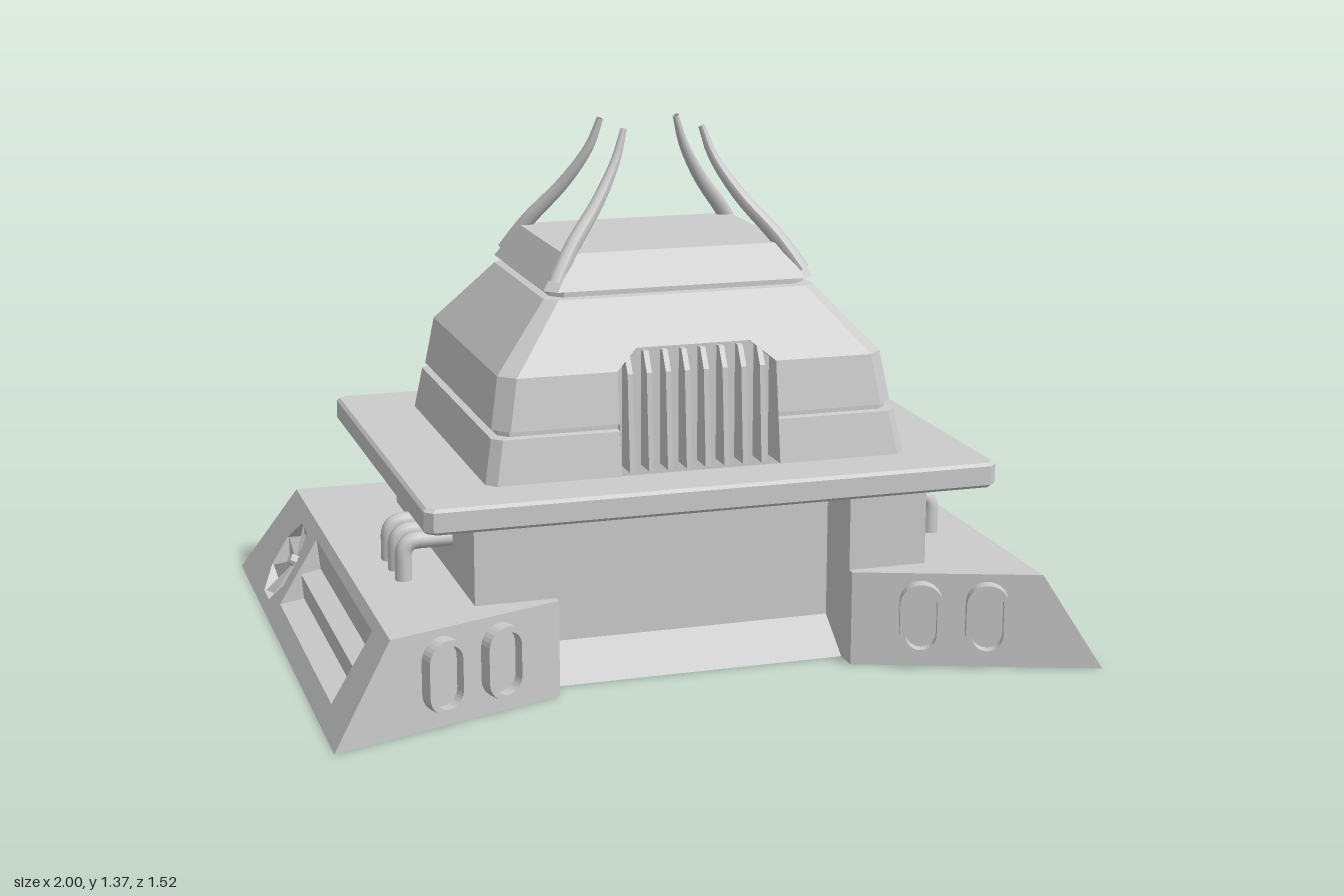
import * as THREE from 'three';

const MAT = new THREE.MeshStandardMaterial({ color: 0xcccccc, flatShading: true, side: THREE.DoubleSide });
const SMOOTH = new THREE.MeshStandardMaterial({ color: 0xcccccc, side: THREE.DoubleSide });
const CZ = 0.04; // the tower sits slightly forward of the base centre

function add(parent, name, geo, mat = MAT) {
  const m = new THREE.Mesh(geo, mat);
  m.name = name;
  parent.add(m);
  return m;
}

// Flat-faced sheet through equal-length rows of [x, y, z] points
function sheet(rows, closed = false, skip = () => false) {
  const pos = [];
  for (let i = 0; i < rows.length - 1; i++) {
    const n = rows[i].length;
    for (let j = 0; j < (closed ? n : n - 1); j++) {
      if (skip(i, j)) continue;
      const k = (j + 1) % n, a = rows[i][j], b = rows[i][k], c = rows[i + 1][k], d = rows[i + 1][j];
      pos.push(...a, ...b, ...c, ...a, ...c, ...d);
    }
  }
  const g = new THREE.BufferGeometry();
  g.setAttribute('position', new THREE.Float32BufferAttribute(pos, 3));
  g.computeVertexNormals();
  return g;
}

// Flat shape with holes, each vertex moved by a rule (u, v) -> [x, y, z]
function panel(outline, holes, rule) {
  const v2 = (pts) => pts.map((p) => new THREE.Vector2(...p));
  const s = new THREE.Shape(v2(outline));
  s.holes = holes.map((h) => new THREE.Path(v2(h)));
  const g = new THREE.ShapeGeometry(s), p = g.attributes.position;
  for (let i = 0; i < p.count; i++) p.setXYZ(i, ...rule(p.getX(i), p.getY(i)));
  g.computeVertexNormals();
  return g;
}

// Rectangle with cut corners; the first two points split the front edge at +-g
function ring([hx, hz, y, c, g = 0.1]) {
  const q = [[-g, hz], [g, hz], [hx - c, hz], [hx, hz - c], [hx, c - hz], [hx - c, -hz],
    [c - hx, -hz], [-hx, c - hz], [-hx, hz - c], [c - hx, hz]];
  return q.map(([x, z]) => [x, y, z + CZ]);
}

function pipe(parent, name, pts, r) {
  const path = new THREE.CurvePath(), v = pts.map((p) => new THREE.Vector3(...p));
  const e = r * 1.8;
  const a = v[1].clone().add(v[0].clone().sub(v[1]).setLength(e));
  const b = v[1].clone().add(v[2].clone().sub(v[1]).setLength(e));
  path.add(new THREE.LineCurve3(v[0], a));
  path.add(new THREE.QuadraticBezierCurve3(a, v[1], b));
  path.add(new THREE.LineCurve3(b, v[2]));
  add(parent, name, new THREE.TubeGeometry(path, 24, r, 10), SMOOTH);
}

// Horn: tube tapered towards its tip
function horn() {
  const curve = new THREE.CatmullRomCurve3([[0.33, 1.0, 0.26], [0.275, 1.085, 0.22], [0.19, 1.19, 0.165],
    [0.13, 1.29, 0.125], [0.105, 1.365, 0.11]].map((p) => new THREE.Vector3(...p)));
  const N = 16, R = 8, g = new THREE.TubeGeometry(curve, N, 0.022, R), p = g.attributes.position;
  const v = new THREE.Vector3();
  for (let i = 0; i < p.count; i++) {
    const t = Math.floor(i / (R + 1)) / N, c = curve.getPointAt(t);
    v.fromBufferAttribute(p, i).sub(c).multiplyScalar(1 - 0.6 * t * t).add(c);
    p.setXYZ(i, v.x, v.y, v.z);
  }
  g.computeVertexNormals();
  return g;
}

function stadium(Type, w, h) {
  const s = new Type();
  s.absarc(0, h - w, w, 0, Math.PI);
  s.absarc(0, w - h, w, Math.PI, 2 * Math.PI);
  s.closePath();
  return s;
}

// One side of the base with its vent, fan, front wing and pipes (+x side)
function baseSide() {
  const g = new THREE.Group();
  const P = (z, y, d = 0) => [1 - 0.6 * y - d, y, z];
  const fz = -0.39, fy = 0.12;
  const oct = [...Array(8)].map((_, i) => {
    const a = (i + 0.5) * Math.PI / 4;
    return [fz + 0.108 * Math.cos(a), fy + 0.1 * Math.sin(a)];
  });
  const z0 = -0.23, z1 = 0.56;
  add(g, 'sideWall', panel([[0.76, 0], [-0.76, 0], [-0.65, 0.25], [0.706, 0.25]],
    [[[z0, 0.05], [z1, 0.05], [z1, 0.225], [z0, 0.225]], oct], (z, y) => P(z, y)));

  // louvred vent trough
  const prof = [[0, 0.225], [0.06, 0.14], [0.012, 0.13], [0.06, 0.06], [0, 0.05]];
  const at = (z, k) => prof.map(([d, y]) => P(z, y, d * k));
  add(g, 'ventLouvres', sheet([at(z0, 0), at(z0, 1), at(z1, 1), at(z1, 0)]));

  // sunken octagonal fan with twisted blades
  const rim = (d) => oct.map(([z, y]) => P(z, y, d));
  add(g, 'fanHousing', sheet([rim(0), rim(0.06), rim(0.06).map(() => P(fz, fy, 0.06))], true));
  oct.forEach(([z, y], i) => {
    const [zn, yn] = oct[(i + 1) % 8];
    add(g, 'fanBlade', sheet([[P(fz, fy, 0.03), P(z, y, 0.005)], [P(fz, fy, 0.03), P(zn, yn, 0.05)]]));
  });
  const hub = add(g, 'fanHub', new THREE.CylinderGeometry(0.014, 0.018, 0.03, 8));
  hub.position.set(...P(fz, fy, 0.025));
  hub.rotation.z = -1.03;

  // front wing and its two framed ports
  add(g, 'wingFront', sheet([[[0.39, 0, 0.54], [1, 0, 0.76]], [[0.39, 0.25, 0.54], [0.85, 0.25, 0.706]]]));
  add(g, 'wingInnerWall', sheet([[[0.39, 0, 0.36], [0.39, 0, 0.54]], [[0.39, 0.25, 0.36], [0.39, 0.25, 0.54]]]));
  for (const x of [0.56, 0.72]) {
    const port = new THREE.Group();
    port.name = 'port';
    const s = stadium(THREE.Shape, 0.055, 0.095);
    s.holes.push(stadium(THREE.Path, 0.04, 0.08));
    add(port, 'portFrame', new THREE.ExtrudeGeometry(s, { depth: 0.045, bevelEnabled: false, curveSegments: 8 }));
    add(port, 'portPane', new THREE.ShapeGeometry(stadium(THREE.Shape, 0.04, 0.08), 8)).position.z = 0.015;
    port.position.set(x, 0.135, 0.76 - 0.36 * (1 - x) - 0.008);
    port.rotation.y = -0.346;
    g.add(port);
  }
  for (const z of [0.26, 0.17, 0.08]) pipe(g, 'sidePipe', [[0.59, 0.352, z], [0.725, 0.352, z], [0.725, 0.245, z]], 0.022);
  for (const [z, x, y] of [[-0.52, 0.475, 0.295], [-0.565, 0.505, 0.3]])
    pipe(g, 'rearPipe', [[0.41, y, z], [x, y, z], [x, 0.245, z]], 0.014);
  return g;
}

export function createModel() {
  const model = new THREE.Group();
  for (const s of [1, -1]) {
    const side = baseSide();
    side.name = s > 0 ? 'leftBaseSide' : 'rightBaseSide';
    side.scale.x = s;
    model.add(side);
  }

  // base back with a sunken panel, and the base top around the body
  const B = (x, y, d = 0) => [x, y, -0.76 + 0.44 * y + d];
  const slot = [[-0.645, 0.045], [0.645, 0.045], [0.6, 0.185], [-0.6, 0.185]];
  add(model, 'baseBack', panel([[-1, 0], [1, 0], [0.85, 0.25], [-0.85, 0.25]], [slot], (x, y) => B(-x, y)));
  add(model, 'backRecess', sheet([slot.map((p) => B(...p)), slot.map(([x, y]) => B(x * 0.97, y, 0.04))], true));
  add(model, 'backRecessFloor', panel(slot, [], (x, y) => B(-x * 0.97, y, 0.04)));
  add(model, 'baseTop', panel(
    [[0.85, -0.706], [0.85, 0.65], [-0.85, 0.65], [-0.85, -0.706], [-0.39, -0.54], [-0.39, -0.36], [0.39, -0.36], [0.39, -0.54]],
    [[[-0.6, -0.34], [0.6, -0.34], [0.6, 0.44], [-0.6, 0.44]]], (x, y) => [x, 0.25, -y]));

  // body walls with the front entrance
  const plan = [[0.39, 0.36], [0.39, 0.52], [0.6, 0.52], [0.6, -0.44], [-0.6, -0.44], [-0.6, 0.52], [-0.39, 0.52], [-0.39, 0.36]];
  add(model, 'bodyWalls', sheet([0.25, 0.475].map((y) => plan.map(([x, z]) => [x, y, z]))));
  add(model, 'entranceDoor', sheet([[0, 0.475], [0.08, 0.36], [0.46, 0.36]].map(([y, z]) => [[-0.39, y, z], [0.39, y, z]])));
  add(model, 'entranceLintel', new THREE.BoxGeometry(0.78, 0.02, 0.16)).position.set(0, 0.468, 0.44);
  add(model, 'rearBox', new THREE.BoxGeometry(0.85, 0.1, 0.12)).position.set(0, 0.3, -0.54);

  // overhanging deck
  add(model, 'deck', sheet([
    [0.6, 0.48, 0.475, 0], [0.737, 0.592, 0.475, 0.02], [0.745, 0.6, 0.483, 0.02], [0.745, 0.6, 0.532, 0.02],
    [0.737, 0.592, 0.54, 0.02], [0.55, 0.44, 0.54, 0.02]].map(ring), true));

  // stepped tower, open at the front where the grille sits
  add(model, 'tower', sheet([
    [0.555, 0.445, 0.54, 0.025, 0.21], [0.535, 0.427, 0.652, 0.025, 0.21], [0.515, 0.41, 0.655, 0.025, 0.21],
    [0.515, 0.41, 0.668, 0.025, 0.21], [0.53, 0.425, 0.67, 0.04, 0.21], [0.508, 0.405, 0.8, 0.04, 0.21],
    [0.463, 0.37, 0.85, 0.038, 0.15], [0.36, 0.29, 0.965, 0.03, 0.15], [0.34, 0.27, 0.968, 0.03],
    [0.34, 0.27, 0.983, 0.03], [0.36, 0.29, 0.985, 0.03], [0.3, 0.235, 1.072, 0.025], [0, 0, 1.072, 0, 0],
  ].map(ring), true, (i, j) => j === 0 && i < 6));

  // sunken grille
  const mouth = [[-0.21, 0.54, 0.485], [-0.21, 0.67, 0.465], [-0.21, 0.8, 0.445], [-0.15, 0.85, 0.41],
    [0.15, 0.85, 0.41], [0.21, 0.8, 0.445], [0.21, 0.67, 0.465], [0.21, 0.54, 0.485]];
  add(model, 'grilleSurround', sheet([mouth, mouth.map(([x, y]) => [x, y, 0.39])]));
  add(model, 'grilleBack', panel(mouth.map(([x, y]) => [x, y]), [], (x, y) => [x, y, 0.39]));
  const fin = new THREE.Shape([[-0.385, 0.54], [-0.46, 0.54], [-0.44, 0.79], [-0.41, 0.84], [-0.385, 0.84]]
    .map((p) => new THREE.Vector2(...p)));
  const finGeo = new THREE.ExtrudeGeometry(fin, { depth: 0.014, bevelEnabled: false }).rotateY(Math.PI / 2);
  for (let i = 0; i < 8; i++) add(model, 'grilleFin', finGeo).position.x = -0.182 + i * 0.05;

  // four horns curving inwards over the roof
  const hornGeo = horn();
  for (const sx of [1, -1]) for (const sz of [1, -1]) {
    const h = add(model, 'horn', hornGeo, SMOOTH);
    h.scale.set(sx, 1, sz);
    h.position.z = CZ;
  }
  return model;
}
